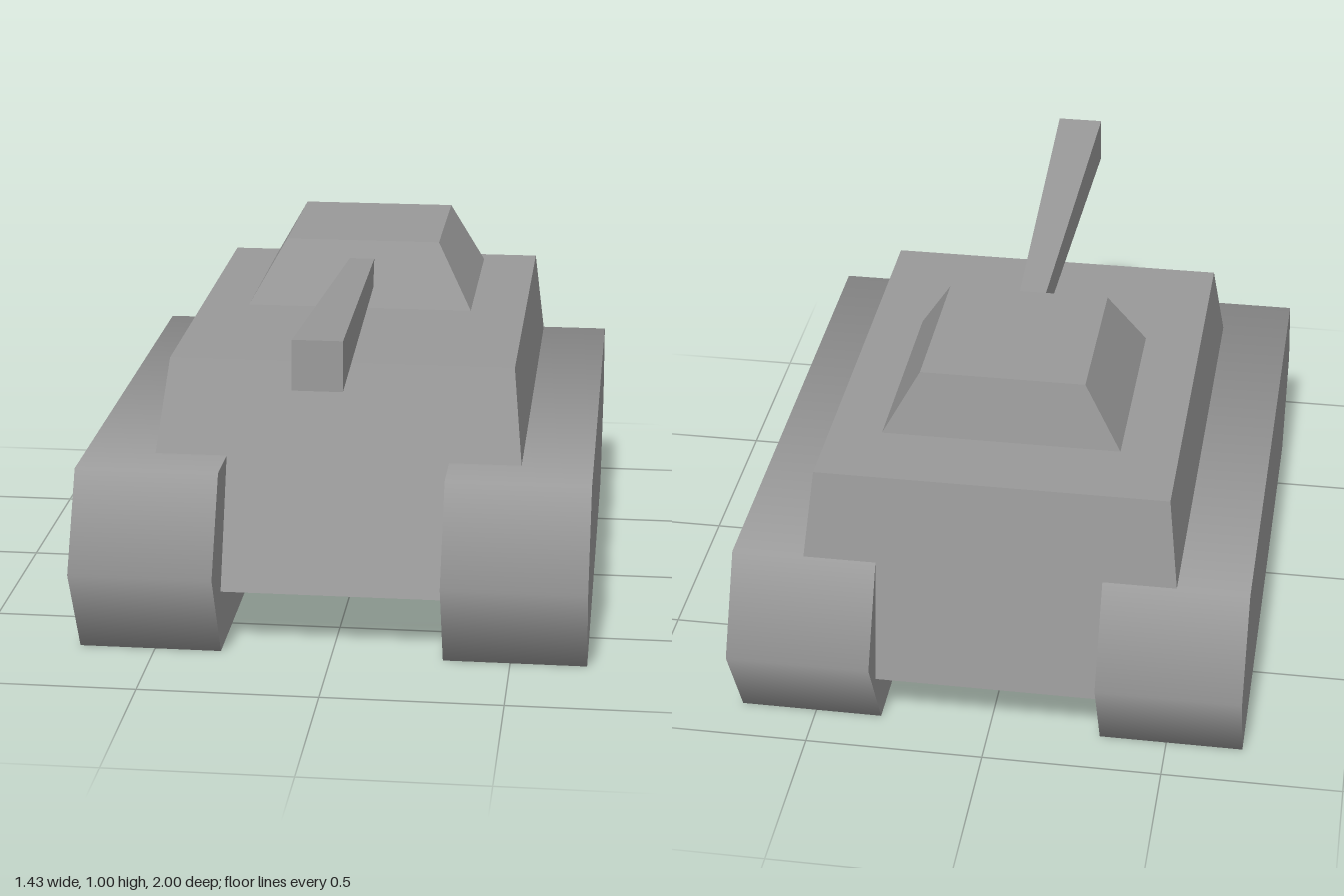
import * as THREE from 'three';

const material = new THREE.MeshStandardMaterial({ color: 0x999999 });

function addMesh(parent, name, geometry) {
  const mesh = new THREE.Mesh(geometry, material);
  mesh.name = name;
  parent.add(mesh);
}

// Moves every vertex of a geometry by a rule
function reshape(geometry, rule) {
  const p = geometry.attributes.position;
  for (let i = 0; i < p.count; i++) p.setXYZ(i, ...rule(p.getX(i), p.getY(i), p.getZ(i)));
  return geometry;
}

// Flat-faced box whose corners (each coordinate -1 or 1) are placed by a rule
function shapedBox(rule) {
  const geometry = reshape(new THREE.BoxGeometry(2, 2, 2), rule);
  geometry.computeVertexNormals();
  return geometry;
}

// Box between two rectangles, each [y, half width, back z, front z]
function frustum([y0, w0, back0, front0], [y1, w1, back1, front1]) {
  return shapedBox((x, y, z) => y < 0
    ? [x * w0, y0, z < 0 ? back0 : front0]
    : [x * w1, y1, z < 0 ? back1 : front1]);
}

// Six-sided track: a lengthened cylinder lying across the tank, smooth round the rim
function trackGeometry(centreX) {
  const geometry = new THREE.CylinderGeometry(1, 1, 0.401, 6).rotateZ(Math.PI / 2);
  const halfHeight = 0.264;
  return reshape(geometry, (x, y, z) => [
    centreX + x,
    halfHeight * (1 + y / Math.sin(Math.PI / 3)),
    -0.075 + Math.sign(z) * Math.min(1.57 * Math.abs(z), 0.645 + 0.28 * Math.abs(z)),
  ]);
}

export function createModel() {
  const tank = new THREE.Group();
  tank.name = 'tank';

  // Tracks
  addMesh(tank, 'leftTrack', trackGeometry(0.513));
  addMesh(tank, 'rightTrack', trackGeometry(-0.513));

  // Hull, running down between the tracks
  addMesh(tank, 'hull', frustum([0.175, 0.555, -0.917, 0.7], [0.779, 0.486, -0.812, 0.453]));

  // Turret, held just above the hull
  addMesh(tank, 'turret', frustum([0.809, 0.33, -0.635, -0.02], [0.99, 0.227, -0.597, -0.115]));

  // Gun barrel, widening towards the slightly raked muzzle, with a level underside
  addMesh(tank, 'gunBarrel', shapedBox((x, y, z) => z > 0
    ? [x * 0.067, y > 0 ? 1 : 0.864, y > 0 ? 0.995 : 1]
    : [x * 0.035, y > 0 ? 0.938 : 0.864, -0.15]));

  return tank;
}
